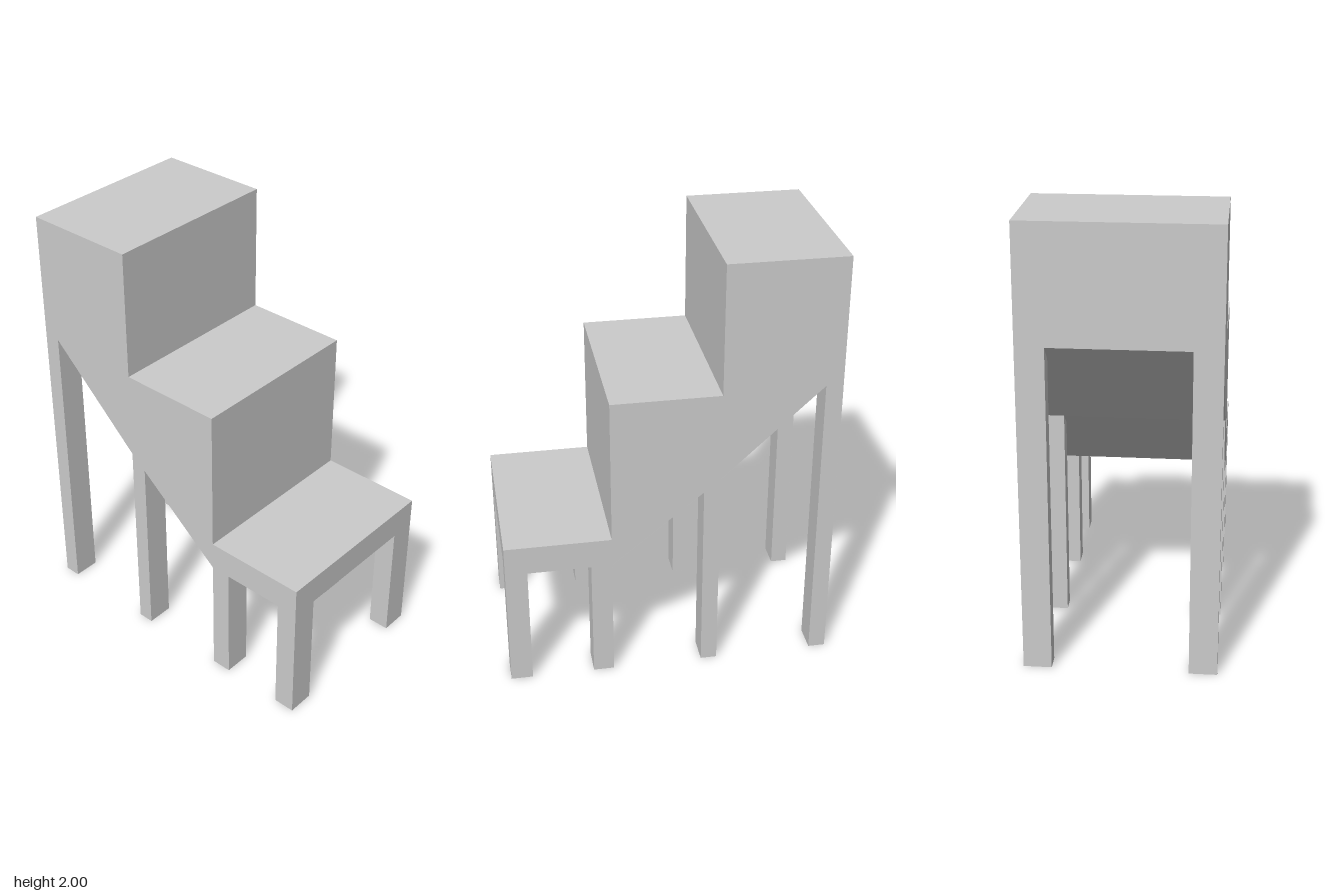
import * as THREE from 'three';

const DEPTH = 0.854, LEG_DEPTH = 0.125;

export function createModel() {
  const group = new THREE.Group();
  const material = new THREE.MeshStandardMaterial({ color: 0xcccccc, flatShading: true });

  // Side profile in x/y, extruded along z and centred at the given z
  function slab(name, points, depth, z) {
    const shape = new THREE.Shape(points.map(([x, y]) => new THREE.Vector2(x, y)));
    const geometry = new THREE.ExtrudeGeometry(shape, { depth, bevelEnabled: false });
    geometry.translate(0, 0, z - depth / 2);
    const mesh = new THREE.Mesh(geometry, material);
    mesh.name = name;
    group.add(mesh);
  }

  // Underside line, from the tall end down to the flat low step
  const underside = [[-0.755, 1.48], [-0.222, 0.985], [0.27, 0.584], [0.753, 0.584]];
  const undersideAt = (x) => {
    const i = x < underside[1][0] ? 0 : x < underside[2][0] ? 1 : 2;
    const [x0, y0] = underside[i], [x1, y1] = underside[i + 1];
    return y0 + (y1 - y0) * (x - x0) / (x1 - x0);
  };

  // Three solid steps
  slab('steps', [
    ...underside,
    [0.753, 0.72], [0.27, 0.72], [0.27, 1.4], [-0.222, 1.4], [-0.222, 2], [-0.755, 2],
  ], DEPTH, 0);

  // Four pairs of legs, cut to meet the underside
  const legs = [
    ['tallLeg', -0.755, -0.677], ['middleLeg', -0.222, -0.147],
    ['lowInnerLeg', 0.27, 0.365], ['lowOuterLeg', 0.653, 0.753],
  ];
  for (const [name, x0, x1] of legs) {
    for (const side of [1, -1]) {
      slab(name + (side > 0 ? 'Front' : 'Back'),
        [[x0, 0], [x1, 0], [x1, undersideAt(x1)], [x0, undersideAt(x0)]],
        LEG_DEPTH, side * (DEPTH - LEG_DEPTH) / 2);
    }
  }
  return group;
}
